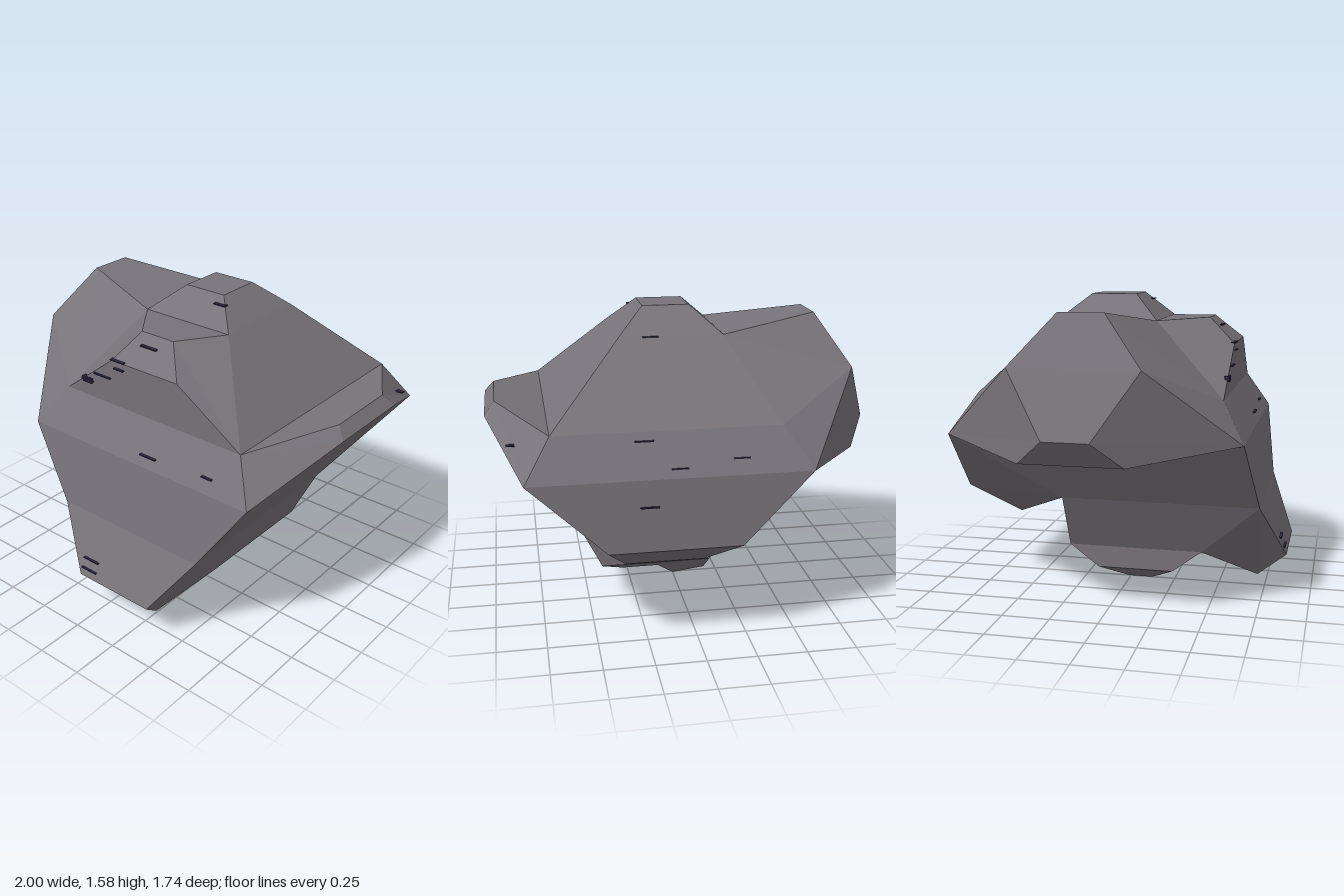
import * as THREE from 'three';

const stone = new THREE.MeshStandardMaterial({ color: 0x77737a });
stone.name = 'stone grey';
const fleckDark = new THREE.MeshStandardMaterial({ color: 0x2a2840 });
fleckDark.name = 'dark fleck';

// Faceted mesh from convex polygons whose corners run counter-clockwise seen from outside
function facets(name, polygons) {
  const pos = [];
  for (const p of polygons)
    for (let i = 1; i < p.length - 1; i++) pos.push(...p[0], ...p[i], ...p[i + 1]);
  const g = new THREE.BufferGeometry();
  g.setAttribute('position', new THREE.Float32BufferAttribute(pos, 3));
  g.computeVertexNormals();
  const mesh = new THREE.Mesh(g, stone);
  mesh.name = name;
  return mesh;
}

// Rectangular level of the rock: front right, front left, back left, back right
const level = (y, x0, x1, z0, z1) => [[x0, y, z1], [x1, y, z1], [x1, y, z0], [x0, y, z0]];

// Side j (0 front, 1 left, 2 back, 3 right) between two levels
const side = (lo, hi, j) => [lo[j], lo[(j + 1) % 4], hi[(j + 1) % 4], hi[j]];

// Lump pulled out of a side: four flanks and a cap
const lump = (base, cap) => [
  ...base.map((p, i) => [p, base[(i + 1) % 4], cap[(i + 1) % 4], cap[i]]),
  cap,
];

export function createModel() {
  const rock = new THREE.Group();
  rock.name = 'rock';

  // Levels of the core from the bottom up
  const L = [
    level(0.06, 0.09, 0.29, -0.03, 0.14),
    level(0.21, -0.15, 0.43, -0.31, 0.42),
    level(0.51, -0.30, 0.58, -0.31, 0.74),
    level(0.88, -0.55, 0.83, -0.84, 0.68),
    level(1.08, -0.42, 0.70, -0.72, 0.56),
    level(1.45, -0.20, 0.33, -0.35, 0.18),
    level(1.58, -0.05, 0.19, -0.20, 0.04),
  ];

  // Core sides, leaving out those that carry a lump
  const lumped = ['0-3', '1-0', '2-2', '3-1', '3-3', '4-0', '4-3'];
  const core = [[...L[0]].reverse(), L[6]];
  for (let i = 0; i < 6; i++)
    for (let j = 0; j < 4; j++)
      if (!lumped.includes(`${i}-${j}`)) core.push(side(L[i], L[i + 1], j));
  rock.add(facets('core', core));

  // Single lumps
  rock.add(facets('bottomLump', lump(side(L[0], L[1], 3),
    [[0, 0, -0.01], [0, 0, 0.12], [-0.15, 0.09, 0.26], [-0.15, 0.09, -0.15]])));
  rock.add(facets('lowerFrontLump', lump(side(L[1], L[2], 0),
    [[0, 0.06, 0.71], [0.29, 0.06, 0.71], [0.37, 0.21, 0.87], [-0.09, 0.21, 0.87]])));
  rock.add(facets('backLump', lump(side(L[2], L[3], 2),
    [[0.34, 0.36, -0.62], [-0.06, 0.36, -0.62], [-0.20, 0.53, -0.87], [0.45, 0.53, -0.87]])));
  rock.add(facets('leftLump', lump(side(L[3], L[4], 1),
    [[1, 1.08, 0.16], [1, 1.08, -0.33], [0.95, 1.14, -0.28], [0.95, 1.14, 0.12]])));
  rock.add(facets('upperFrontLump', lump(side(L[4], L[5], 0),
    [[-0.09, 1.33, 0.57], [0.33, 1.33, 0.57], [0.19, 1.46, 0.43], [-0.01, 1.46, 0.43]])));

  // Large right lump spanning two sides; each row holds its back and front corner
  const row = (x, y, z0, z1) => [[x, y, z0], [x, y, z1]];
  const [b3, b0] = row(-0.90, 0.82, -0.35, 0.17);
  const [k3, k0] = row(-1.00, 0.95, -0.20, 0.03);
  const [m3, m0] = row(-0.86, 1.27, -0.41, 0.24);
  const [t3, t0] = row(-0.71, 1.52, -0.20, 0.03);
  const [[c0, , , c3], [r0, , , r3], [u0, , , u3]] = [L[3], L[4], L[5]];
  rock.add(facets('rightLump', [
    [c3, c0, b0, b3], [b3, b0, k0, k3], [k3, k0, m0, m3], [m3, m0, t0, t3], [u0, u3, t3, t0],
    [c0, r0, m0], [c0, m0, k0, b0], [r0, u0, t0, m0],
    [r3, c3, m3], [c3, b3, k3, m3], [u3, r3, m3, t3],
  ]));

  // Thin dark flecks: x, y, z, width
  const flecks = [
    [0.20, 1.545, 0.08, 0.07], [0.08, 1.415, 0.48, 0.10], [-0.05, 1.335, 0.565, 0.09],
    [-0.04, 1.295, 0.57, 0.06], [-0.16, 1.225, 0.565, 0.11], [0.21, 0.93, 0.65, 0.10],
    [0.57, 0.945, 0.64, 0.06], [-0.04, 0.30, 0.83, 0.10], [-0.04, 0.25, 0.85, 0.10],
    [0.17, 1.45, -0.34, 0.08], [0.26, 1.04, -0.74, 0.09], [-0.20, 0.95, -0.79, 0.08],
    [0.10, 0.92, -0.81, 0.08], [0.25, 0.75, -0.85, 0.09], [0.88, 1.01, -0.61, 0.04],
    [-0.84, 0.89, 0.20, 0.05],
  ];
  const group = new THREE.Group();
  group.name = 'flecks';
  const addFleck = (x, y, z, w, h) => {
    const f = new THREE.Mesh(new THREE.BoxGeometry(w, h, 0.025), fleckDark);
    f.name = 'fleck';
    f.position.set(x, y, z);
    group.add(f);
  };
  for (const [x, y, z, w] of flecks) addFleck(x, y, z, w, 0.006);
  for (const [dy, w] of [[-0.01, 0.06], [0, 0.08], [0.01, 0.07]])
    addFleck(-0.27, 1.17 + dy, 0.56, w, 0.009);
  rock.add(group);

  return rock;
}
